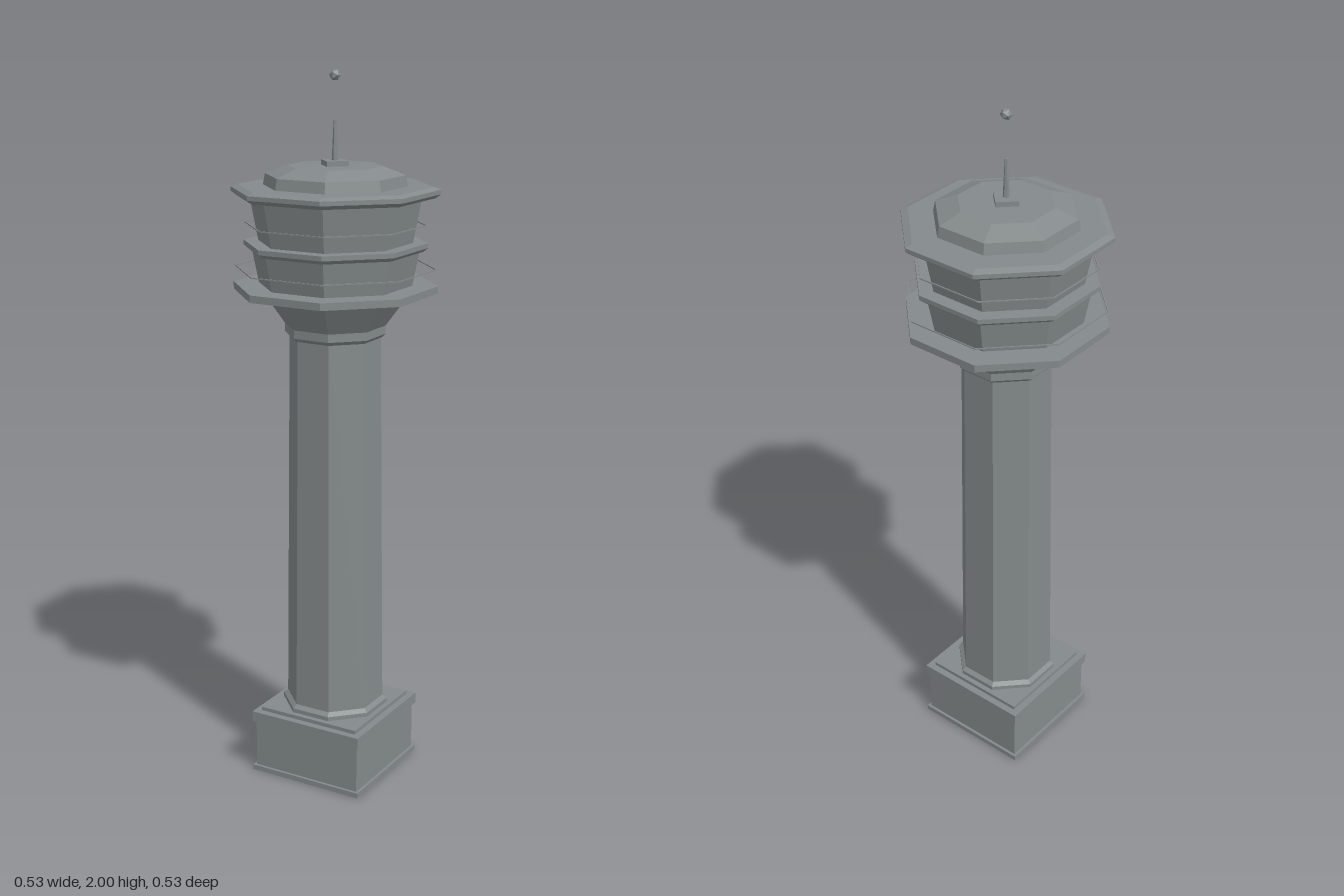
import * as THREE from 'three';

export function createModel() {
  const group = new THREE.Group();
  const stone = new THREE.MeshStandardMaterial({ color: 0x848a8b, flatShading: true });
  stone.name = 'grey stone';

  const add = (name, geometry, y = 0) => {
    const mesh = new THREE.Mesh(geometry, stone);
    mesh.name = name;
    mesh.position.y = y;
    group.add(mesh);
    return mesh;
  };

  // Square block from y0 to y1, given its half width
  const block = (name, half, y0, y1) =>
    add(name, new THREE.BoxGeometry(half * 2, y1 - y0, half * 2), (y0 + y1) / 2);

  // Octagonal solid from [distance to flat side, height] pairs, bottom to top
  const octagon = (name, profile) => {
    const k = 1 / Math.cos(Math.PI / 8);
    const points = profile.map(([r, y]) => new THREE.Vector2(r * k, y));
    return add(name, new THREE.LatheGeometry(points, 8, Math.PI / 8));
  };
  const solid = (name, profile) => octagon(name, [
    [0, profile[0][1]], ...profile, [0, profile[profile.length - 1][1]],
  ]);

  // Thin floating handrail
  const rail = (name, r, y, t = 0.0015) => octagon(name, [
    [r - t, y - t], [r + t, y - t], [r + t, y + t], [r - t, y + t], [r - t, y - t],
  ]);

  // Square base
  block('plinth', 0.175, 0, 0.015);
  block('base', 0.167, 0.015, 0.153);
  block('baseCap', 0.175, 0.153, 0.185);
  block('baseStep', 0.155, 0.185, 0.196);

  // Tapered shaft with foot, collar and flare
  solid('shaftFoot', [[0.14, 0.196], [0.14, 0.208], [0.129, 0.218]]);
  solid('shaft', [[0.129, 0.2], [0.117, 1.3]]);
  solid('collar', [[0.12, 1.285], [0.129, 1.295], [0.129, 1.318]]);
  solid('flare', [[0.129, 1.318], [0.192, 1.412]]);

  // Lower balcony and room
  solid('lowerDeck', [[0.26, 1.41], [0.26, 1.43]]);
  rail('lowerRail', 0.254, 1.475);
  solid('lowerRoom', [[0.195, 1.43], [0.213, 1.528]]);

  // Upper balcony and room
  solid('upperDeck', [[0.222, 1.523], [0.233, 1.533], [0.233, 1.546]]);
  rail('upperRail', 0.228, 1.594);
  solid('upperRoom', [[0.195, 1.545], [0.217, 1.67]]);

  // Eaves and stepped roof
  solid('eaves', [[0.25, 1.667], [0.264, 1.678], [0.264, 1.69], [0.246, 1.697]]);
  solid('roof', [[0.182, 1.695], [0.176, 1.727], [0.12, 1.75]]);

  // Mast and finial ball
  add('mastBase', new THREE.CylinderGeometry(0.043, 0.043, 0.014, 4), 1.757);
  add('mastLower', new THREE.CylinderGeometry(0.006, 0.009, 0.06, 6), 1.794);
  add('mastUpper', new THREE.CylinderGeometry(0.004, 0.006, 0.044, 6), 1.846);
  add('finialBall', new THREE.IcosahedronGeometry(0.016, 0), 1.986);

  return group;
}
